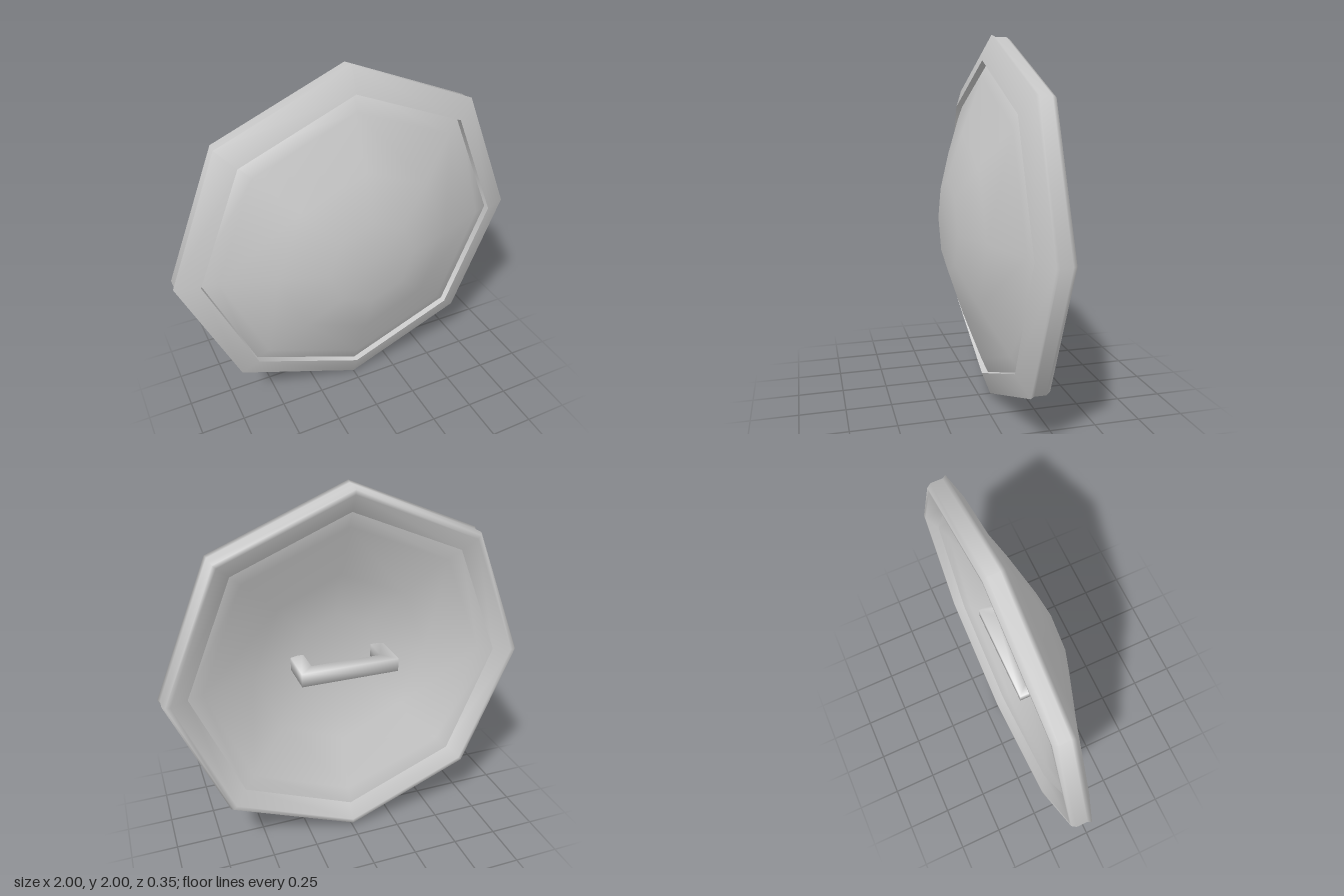
import * as THREE from 'three';
import { mergeVertices } from 'three/addons/utils/BufferGeometryUtils.js';

const SIDES = 8;
const CENTRE_Y = 1;
const material = new THREE.MeshStandardMaterial({ color: 0xcccccc });

// Octagonal turned part: profile points are [radius, z], axis along z
function turned(name, profile) {
  const points = profile.map(([r, z]) => new THREE.Vector2(r, z));
  const geometry = new THREE.LatheGeometry(points, SIDES);
  geometry.rotateX(Math.PI / 2);
  const mesh = new THREE.Mesh(geometry, material);
  mesh.name = name;
  mesh.position.y = CENTRE_Y;
  return mesh;
}

// Square bar bent into a mitred U, softly shaded, its feet sunk into the dome
function makeHandle() {
  const half = 0.0375, halfWidth = 0.235, barZ = -0.09, footZ = 0.12;
  const radius = half * Math.SQRT2;
  const tube = new THREE.CylinderGeometry(radius, radius, 1, 4, 3, true, Math.PI / 4);
  const p = tube.attributes.position;
  for (let i = 0; i < p.count; i++) {
    const out = p.getX(i), along = p.getY(i), across = p.getZ(i);
    const isFoot = Math.abs(along) > 0.4;
    p.setXYZ(i,
      Math.sign(along) * (halfWidth + out),
      -across,
      isFoot ? footZ : barZ - out);
  }
  // Weld the seam so the shading runs smoothly round the bar
  tube.deleteAttribute('uv');
  tube.deleteAttribute('normal');
  const geometry = mergeVertices(tube, 0.001);
  geometry.computeVertexNormals();
  const mesh = new THREE.Mesh(geometry, material);
  mesh.name = 'handle';
  mesh.position.y = CENTRE_Y;
  return mesh;
}

export function createModel() {
  const shield = new THREE.Group();
  shield.name = 'shield';

  // Thick shallow domed plate, back surface first, then front
  shield.add(turned('dome', [
    [0, 0.093], [0.25, 0.093], [0.5, 0.012], [0.78, -0.096], [0.86, -0.127], [0.9, -0.12],
    [0.9, -0.07], [0.78, -0.017], [0.5, 0.09], [0.25, 0.173], [0, 0.173],
  ]));

  // Bevelled rim; the profile starts and ends on its sharp front lip
  shield.add(turned('rim', [
    [0.87, -0.02], [0.862, -0.12], [0.86, -0.128], [0.95, -0.173], [0.975, -0.173],
    [0.99, -0.15], [0.99, -0.09], [1, -0.07], [0.87, -0.02],
  ]));

  shield.add(makeHandle());
  return shield;
}
